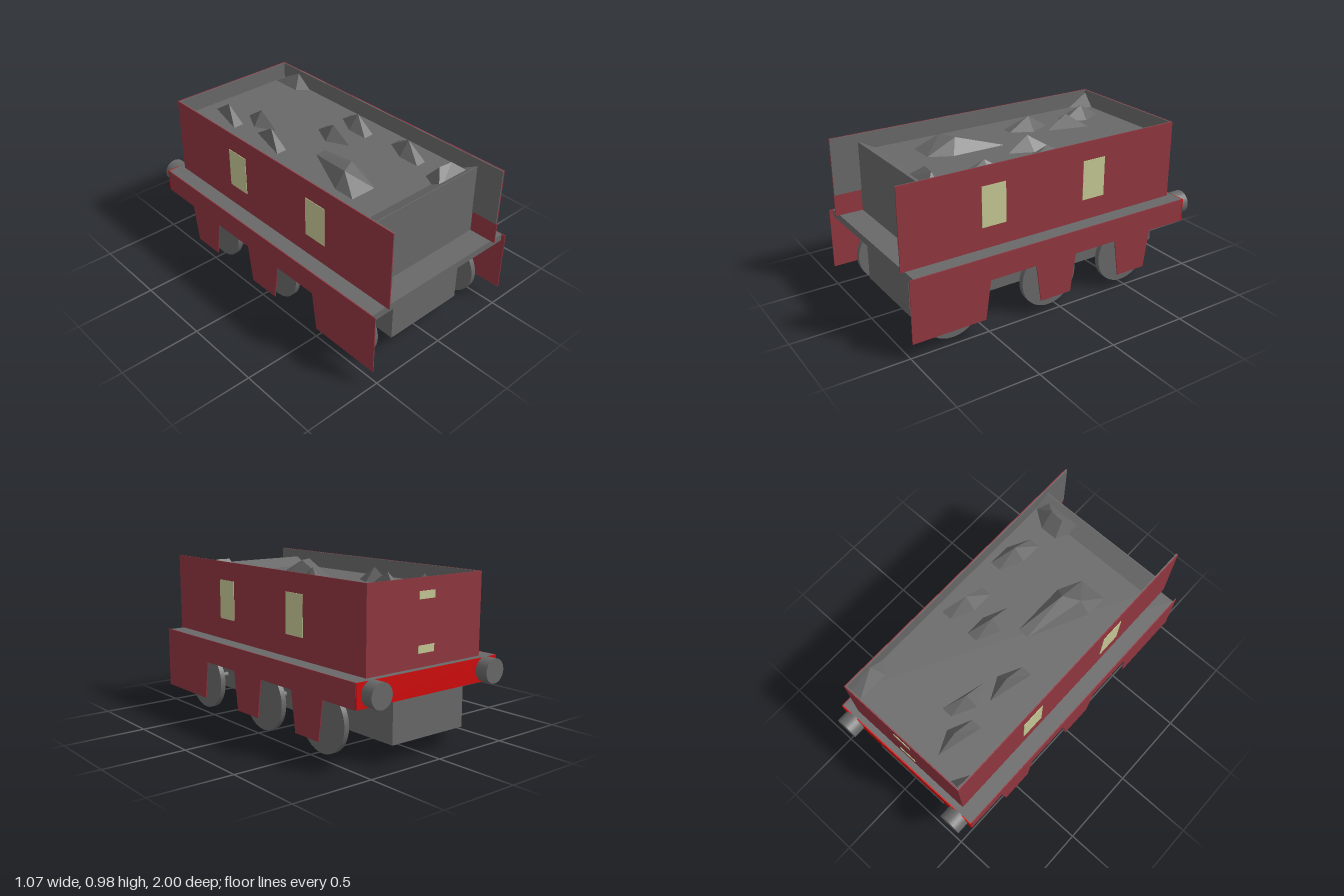
import * as THREE from 'three';
import { ConvexGeometry } from 'three/addons/geometries/ConvexGeometry.js';

const mat = (name, color) => {
  const m = new THREE.MeshStandardMaterial({ color });
  m.name = name;
  return m;
};

export function createModel() {
  const model = new THREE.Group();
  model.name = 'tenderWagon';
  const grey = mat('dark grey', 0x686868);
  const maroon = mat('maroon', 0x90363f);
  const red = mat('bright red', 0xd00c0c);
  const cream = mat('pale yellow', 0xc4c894);

  const add = (name, geometry, material) => {
    const mesh = new THREE.Mesh(geometry, material);
    mesh.name = name;
    model.add(mesh);
    return mesh;
  };
  // Box given by its limits on each axis
  const box = (name, material, [x0, x1], [y0, y1], [z0, z1]) =>
    add(name, new THREE.BoxGeometry(x1 - x0, y1 - y0, z1 - z0), material)
      .position.set((x0 + x1) / 2, (y0 + y1) / 2, (z0 + z1) / 2);
  // Side profile of (z, y) points, extruded across x
  const sideProfile = (name, material, points, x0, x1) => {
    const shape = new THREE.Shape(points.map(([z, y]) => new THREE.Vector2(z, y)));
    const g = new THREE.ExtrudeGeometry(shape, { depth: x1 - x0, bevelEnabled: false });
    g.rotateY(-Math.PI / 2);
    g.translate(x1, 0, 0);
    return add(name, g, material);
  };

  // Chassis: footplate, frame and rear beam
  box('footplate', grey, [-0.53, 0.53], [0.45, 0.495], [-0.915, 0.975]);
  box('frame', grey, [-0.27, 0.27], [0.11, 0.45], [-0.91, 0.88]);
  box('rearBeam', red, [-0.535, 0.535], [0.353, 0.494], [-0.922, -0.912]);

  // Toothed skirts, tall side walls and windows
  const skirt = [[1, 0.495], [1, 0.11], [0.54, 0.11], [0.505, 0.35], [0.2, 0.35], [0.165, 0.11],
    [-0.045, 0.11], [-0.08, 0.35], [-0.375, 0.35], [-0.41, 0.11], [-0.615, 0.11], [-0.65, 0.35],
    [-0.912, 0.35], [-0.912, 0.495]];
  const span = (s, a, b) => (s > 0 ? [a, b] : [-b, -a]);
  for (const s of [1, -1]) {
    sideProfile('sideSkirt', maroon, skirt, ...span(s, 0.53, 0.536));
    box('sideWall', maroon, span(s, 0.428, 0.434), [0.495, 0.985], [-0.875, 1]);
    box('sideWallLining', grey, span(s, 0.422, 0.428), [0.63, 0.984], [-0.87, 0.999]);
    for (const z of [0.418, -0.273]) {
      box('sideWindow', cream, span(s, 0.433, 0.437), [0.625, 0.87], [z - 0.078, z + 0.078]);
    }
  }

  // Rear wall with two small plates
  box('rearWall', maroon, [-0.434, 0.434], [0.495, 0.985], [-0.878, -0.872]);
  box('rearWallLining', grey, [-0.428, 0.428], [0.63, 0.984], [-0.872, -0.866]);
  for (const y of [0.89, 0.595]) {
    box('rearPlate', cream, [-0.06, 0.06], [y - 0.022, y + 0.022], [-0.881, -0.877]);
  }

  // Coal bed with front bulkhead and its sloping lip
  sideProfile('coalBed', grey,
    [[-0.87, 0.495], [0.825, 0.495], [0.825, 0.935], [0.82, 0.935], [0.72, 0.88], [-0.87, 0.88]],
    -0.427, 0.427);

  // Coal lumps: base outline and peaks as (x, z)
  const lumps = [
    { base: [[-0.2, -0.8], [-0.135, -0.66], [-0.2, -0.52], [-0.27, -0.52]], peaks: [[-0.2, -0.66]] },
    { base: [[-0.17, -0.45], [-0.1, -0.59], [-0.03, -0.59], [-0.1, -0.32]], peaks: [[-0.1, -0.46]] },
    { base: [[-0.2, -0.38], [-0.13, -0.24], [-0.2, -0.1], [-0.27, -0.1]], peaks: [[-0.2, -0.24]] },
    { base: [[0.105, -0.165], [0.175, -0.165], [0.175, -0.03], [0.11, 0.115], [0.04, -0.025]], peaks: [[0.105, -0.025]] },
    { base: [[0.31, -0.165], [0.38, -0.165], [0.31, 0.11], [0.24, 0.11], [0.24, -0.03]], peaks: [[0.31, -0.025]] },
    { base: [[-0.1, 0.045], [-0.03, 0.045], [-0.03, 0.4], [-0.1, 0.54], [-0.27, 0.54], [-0.27, 0.4]], peaks: [[-0.2, 0.4], [-0.1, 0.35]] },
    { base: [[0.31, 0.26], [0.38, 0.26], [0.38, 0.4], [0.31, 0.54], [0.24, 0.54], [0.24, 0.4]], peaks: [[0.31, 0.4]] },
    { base: [[0.11, 0.82], [0.2, 0.64], [0.31, 0.64], [0.42, 0.72], [0.42, 0.82]], peaks: [[0.22, 0.72], [0.31, 0.73]] },
    { base: [[-0.42, -0.866], [-0.34, -0.866], [-0.42, -0.73]], peaks: [[-0.41, -0.86]] },
    { base: [[0.345, -0.866], [0.42, -0.866], [0.42, -0.6], [0.345, -0.66]], peaks: [[0.41, -0.7]] },
  ];
  for (const { base, peaks } of lumps) {
    const points = [
      ...base.map(([x, z]) => new THREE.Vector3(x, 0.878, z)),
      ...peaks.map(([x, z]) => new THREE.Vector3(x, 0.968, z)),
    ];
    add('coalLump', new ConvexGeometry(points), grey);
  }

  // Wheels and axles
  for (const z of [0.7, 0.04, -0.525]) {
    const axle = add('axle', new THREE.CylinderGeometry(0.018, 0.018, 0.68, 16), grey);
    axle.rotation.z = Math.PI / 2;
    axle.position.set(0.007, 0.195, z);
    for (const x of [0.421, -0.408]) {
      const wheel = add('wheel', new THREE.CylinderGeometry(0.19, 0.19, 0.033, 40), grey);
      wheel.rotation.z = Math.PI / 2;
      wheel.position.set(x, 0.191, z);
    }
  }

  // Rear buffers
  for (const x of [0.432, -0.435]) {
    const buffer = add('buffer', new THREE.CylinderGeometry(0.073, 0.073, 0.085, 28), grey);
    buffer.rotation.x = Math.PI / 2;
    buffer.position.set(x, 0.426, -0.9575);
  }

  return model;
}
